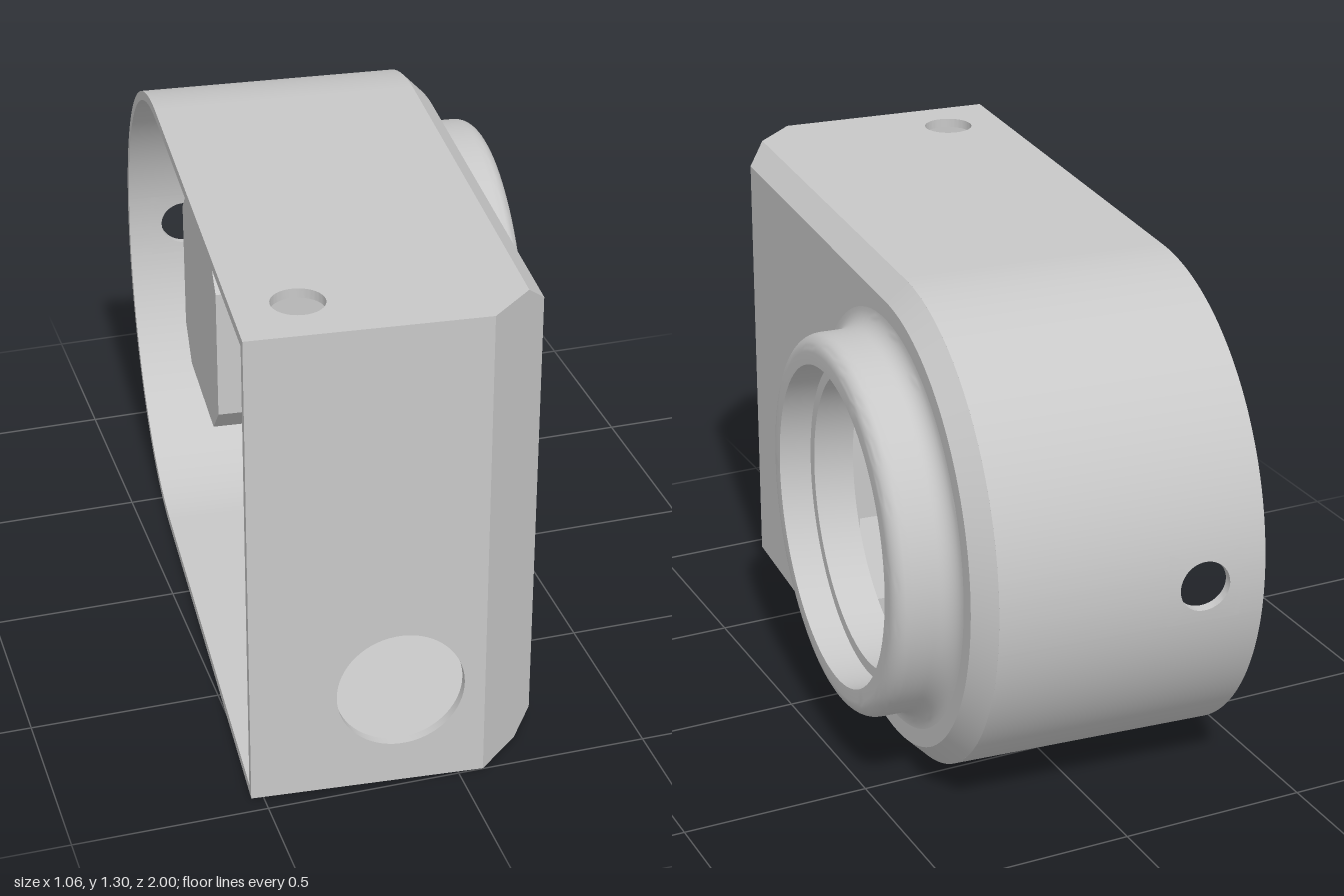
import * as THREE from 'three';
import { toCreasedNormals } from 'three/addons/utils/BufferGeometryUtils.js';

// Local frame: x = depth (open side at -x, collar at +x), y = up, z = length
const H = 1.305, R = H / 2, ARC_Z = -0.3145, WALL = 0.025;
const BACK = -0.451, RIM = 0.257, FACE = 0.31, FRONT = 0.99, CUT = 0.147, FACE_Z = 0.827, RIM_Z = 0.88;
const HOLE_X = -0.289, HOLE_R = 0.067;

export function createModel() {
  const grey = new THREE.MeshStandardMaterial({ color: 0xc8c8c8, side: THREE.DoubleSide });
  grey.name = 'light grey';
  const model = new THREE.Group();
  model.name = 'motorHousing';

  const add = (name, geometry, crease = 0.5) => {
    const mesh = new THREE.Mesh(toCreasedNormals(geometry, crease), grey);
    mesh.name = name;
    model.add(mesh);
  };
  const poly = (pts) => new THREE.Shape(pts.map(([x, y]) => new THREE.Vector2(x, y)));
  const circle = (x, y, r) => new THREE.Path().absarc(x, y, r, 0, Math.PI * 2, true);
  const rounded = (x0, y0, x1, y1, r) => {
    const s = new THREE.Shape();
    s.absarc(x1 - r, y1 - r, r, 0, Math.PI / 2);
    s.absarc(x0 + r, y1 - r, r, Math.PI / 2, Math.PI);
    s.absarc(x0 + r, y0 + r, r, Math.PI, Math.PI * 1.5);
    s.absarc(x1 - r, y0 + r, r, Math.PI * 1.5, Math.PI * 2);
    s.closePath();
    return s;
  };
  const extrude = (shape, from, to) =>
    new THREE.ExtrudeGeometry(shape, { depth: to - from, bevelEnabled: false, curveSegments: 32 }).translate(0, 0, from);
  // shape (-z, y) along x; shape (x, -z) along y; shape (x, y) along z
  const alongX = (shape, x0, x1) => extrude(shape, x0, x1).rotateY(Math.PI / 2);
  const alongY = (shape, y0, y1) => extrude(shape, y0, y1).rotateX(-Math.PI / 2);

  // Surface through a row of equally long point loops
  const loft = (rings) => {
    const n = rings[0].length, index = [];
    for (let i = 0; i < rings.length - 1; i++)
      for (let j = 0; j < n - 1; j++) {
        const a = i * n + j, b = a + n;
        index.push(a, b, a + 1, a + 1, b, b + 1);
      }
    const g = new THREE.BufferGeometry();
    g.setAttribute('position', new THREE.Float32BufferAttribute(rings.flat(2), 3));
    g.setIndex(index);
    return g;
  };

  // Top and bottom walls with a screw hole each
  for (const [name, y] of [['bottomWall', 0], ['topWall', H - WALL]]) {
    const s = poly([[BACK, -FRONT], [CUT, -FRONT], [RIM, -RIM_Z], [RIM, -ARC_Z], [BACK, -ARC_Z]]);
    s.holes.push(circle(HOLE_X, -0.825, HOLE_R));
    add(name, alongY(s, y, y + WALL));
  }

  // Flat front wall with cable opening
  const front = poly([[BACK, 0], [CUT, 0], [CUT, H], [BACK, H]]);
  front.holes.push(circle(-0.069, 0.275, 0.163));
  add('frontWall', extrude(front, FRONT - WALL, FRONT));

  // Slanted front corner
  const dx = FACE - CUT, dz = FRONT - FACE_Z, len = Math.hypot(dx, dz), w = len * (RIM - CUT) / dx, c = FACE - RIM;
  add('frontChamfer', extrude(poly([[0, 0], [w, 0], [len, c], [len, H - c], [w, H], [0, H]]), -WALL, 0)
    .rotateY(Math.atan2(dz, dx)).translate(CUT, 0, FRONT));

  // Rounded end, in sectors that leave a square around the screw hole
  const half = 0.098, d = half / R;
  const sector = (a0, a1, x0, x1) => {
    const s = new THREE.Shape();
    s.absarc(-ARC_Z, R, R, a0, a1, false);
    s.absarc(-ARC_Z, R, R - WALL, a1, a0, true);
    s.closePath();
    add('roundedEnd', alongX(s, x0, x1));
  };
  sector(d, Math.PI / 2, BACK, RIM);
  sector(-Math.PI / 2, -d, BACK, RIM);
  sector(-d, d, BACK, HOLE_X - half);
  sector(-d, d, HOLE_X + half, RIM);
  const patchRing = (k, r) => Array.from({ length: 49 }, (_, i) => {
    const t = i / 48 * Math.PI * 2, cs = Math.cos(t), sn = Math.sin(t);
    const m = THREE.MathUtils.lerp(HOLE_R, half / Math.max(Math.abs(cs), Math.abs(sn)), k);
    const a = sn * m / R;
    return [HOLE_X + cs * m, R + r * Math.sin(a), ARC_Z - r * Math.cos(a)];
  });
  const steps = [0, 0.33, 0.67, 1];
  add('roundedEndHole', loft([...steps.map((k) => patchRing(1 - k, R)), ...steps.map((k) => patchRing(k, R - WALL))]));

  // Bevelled rim around the face
  const rimLoop = (x, inset, z) => {
    const pts = [[x, H - inset, z]];
    for (let i = 0; i <= 64; i++) {
      const a = Math.PI / 2 - i / 64 * Math.PI, r = R - inset;
      pts.push([x, R + r * Math.sin(a), ARC_Z - r * Math.cos(a)]);
    }
    return [...pts, [x, inset, z]];
  };
  add('rimChamfer', loft([rimLoop(RIM, 0, RIM_Z), rimLoop(FACE, c, FACE_Z)]));

  // Face plate, spanned by rays from the collar hole to the D-shaped outline
  const reach = FACE_Z - ARC_Z, corner = Math.atan2(R - c, reach);
  const angles = [corner, Math.PI * 2 - corner];
  for (let i = 0; i <= 128; i++) angles.push(i / 64 * Math.PI);
  angles.sort((a, b) => a - b);
  const faceRing = (x, outer) => angles.map((a) => {
    const cs = Math.cos(a), sn = Math.sin(a);
    const edge = cs < 1e-6 ? R - c : Math.min(reach / cs, (R - c) / Math.max(Math.abs(sn), 1e-6));
    const m = outer ? edge : 0.52;
    return [x, R + sn * m, ARC_Z + cs * m];
  });
  add('facePlate', loft([faceRing(FACE, true), faceRing(FACE, false), faceRing(0.27, false), faceRing(0.27, true)]));

  // Collar with filleted foot, rounded lip and stepped bore
  const arc = (r, h, rad, a0, a1) => Array.from({ length: 9 }, (_, i) => {
    const a = a0 + (a1 - a0) * i / 8;
    return new THREE.Vector2(r + rad * Math.cos(a), h + rad * Math.sin(a));
  });
  const profile = [
    new THREE.Vector2(0.525, 0.27), new THREE.Vector2(0.39, 0.27), new THREE.Vector2(0.39, 0.38),
    new THREE.Vector2(0.422, 0.38), new THREE.Vector2(0.422, 0.467),
    ...arc(0.455, 0.422, 0.045, Math.PI / 2, 0),
    ...arc(0.552, 0.362, 0.052, Math.PI, Math.PI * 1.5),
  ];
  add('collar', new THREE.LatheGeometry(profile, 96).rotateZ(-Math.PI / 2).translate(0, R, ARC_Z));

  // Inner bulkhead with rounded window
  const bulkhead = poly([[-0.237, 0.02], [0.27, 0.02], [0.27, H - 0.02], [-0.237, H - 0.02]]);
  bulkhead.holes.push(rounded(-0.167, 0.115, 0.19, 0.425, 0.045));
  add('bulkhead', extrude(bulkhead, 0.26, 0.29));

  // Shelf with a flare to the front wall, and its gusset
  const shelf = new THREE.Shape();
  shelf.moveTo(0.27, -0.28);
  shelf.lineTo(-0.27, -0.28);
  shelf.lineTo(-0.27, -0.84);
  shelf.quadraticCurveTo(-0.27, -0.865, -0.24, -0.865);
  shelf.lineTo(-0.2, -0.865);
  shelf.quadraticCurveTo(-0.22, -0.935, -0.43, -0.97);
  shelf.lineTo(0.15, -0.97);
  shelf.lineTo(0.27, -0.84);
  shelf.closePath();
  for (const z of [0.7, 0.82])
    shelf.holes.push(new THREE.Path(Array.from({ length: 6 }, (_, i) =>
      new THREE.Vector2(-0.07 + 0.035 * Math.cos(i * Math.PI / 3), -z + 0.035 * Math.sin(i * Math.PI / 3)))));
  add('shelf', alongY(shelf, 0.54, 0.62));
  add('gusset', alongX(poly([[-0.9, 0.62], [-0.28, 0.62], [-0.28, 1.28]]), 0, 0.03));

  // Motor mount plate with four screw holes
  const MZ = 0.045, MY = 0.89;
  const mount = rounded(-0.285, 0.6, 0.215, 1.18, 0.04);
  const spots = [[-1, -1], [-1, 1], [1, -1], [1, 1]].map(([a, b]) => [MZ + a * 0.16, MY + b * 0.16]);
  for (const [z, y] of spots) mount.holes.push(circle(-z, y, 0.033));
  add('mountPlate', alongX(mount, -0.07, 0));
  for (const [z, y] of spots) {
    const washer = new THREE.Shape().absarc(-z, y, 0.034, 0, Math.PI * 2, false);
    washer.holes.push(circle(-z, y, 0.015));
    add('screwSeat', alongX(washer, -0.07, -0.02));
  }
  const boss = new THREE.Shape().absarc(-MZ, MY, 0.112, 0, Math.PI * 2, false);
  boss.holes.push(circle(-MZ, MY, 0.06));
  add('motorBoss', alongX(boss, 0, 0.03));
  add('motorShaft', new THREE.CylinderGeometry(0.03, 0.03, 0.1, 32).rotateZ(Math.PI / 2).translate(0.03, MY, MZ));

  // Motor: rear cap and a slightly smaller body
  const motor = (name, h, k, x0, x1) => add(name, alongX(poly([
    [-h, k - h], [k - h, -h], [h - k, -h], [h, k - h], [h, h - k], [h - k, h], [k - h, h], [-h, h - k],
  ].map(([a, b]) => [a - MZ, b + MY])), x0, x1), 0.3);
  motor('motorRearCap', 0.26, 0.085, -0.4, -0.32);
  motor('motorBody', 0.255, 0.085, -0.32, -0.07);

  model.rotation.y = -0.0822;
  return model;
}
